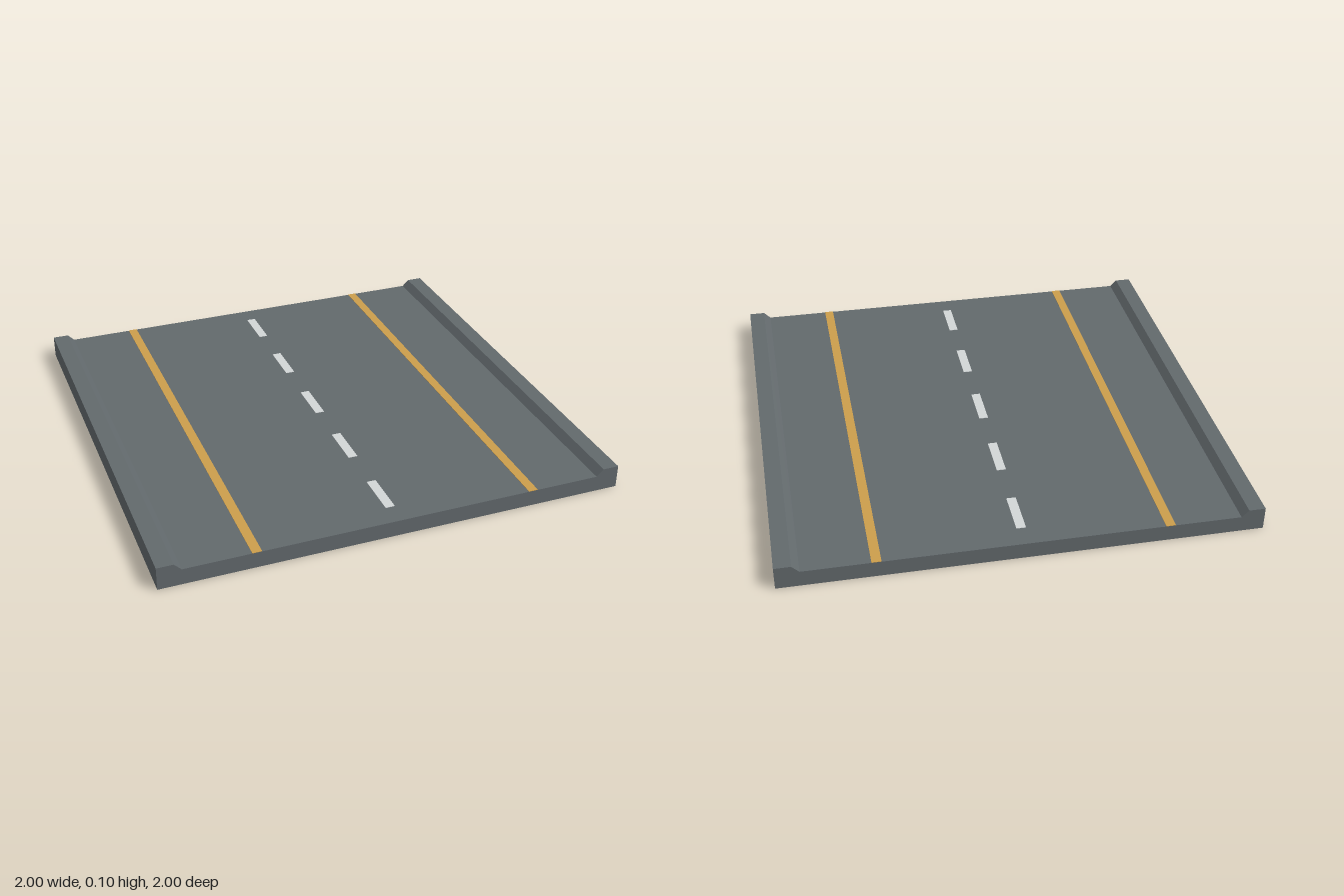
import * as THREE from 'three';

export function createModel() {
  const road = new THREE.Group();
  road.name = 'roadSection';

  const material = (name, color) => {
    const m = new THREE.MeshStandardMaterial({ color });
    m.name = name;
    return m;
  };
  const asphalt = material('asphalt grey', 0x62696c);
  const yellow = material('line yellow', 0xcc9e4c);
  const white = material('dash white', 0xd2d6d7);

  const surfaceY = 0.07;
  const kerbY = 0.1;

  // Road bed with a sloped kerb along each side, extruded along z
  const profile = new THREE.Shape([
    [-1, 0], [1, 0], [1, kerbY], [0.93, kerbY], [0.9, surfaceY],
    [-0.9, surfaceY], [-0.93, kerbY], [-1, kerbY],
  ].map(([x, y]) => new THREE.Vector2(x, y)));
  const bedGeometry = new THREE.ExtrudeGeometry(profile, { depth: 2, bevelEnabled: false });
  bedGeometry.translate(0, 0, -1);
  const bed = new THREE.Mesh(bedGeometry, asphalt);
  bed.name = 'roadBedWithKerbs';
  road.add(bed);

  // Painted markings are thin plates on the surface
  const addMarking = (name, x, z, length, mat) => {
    const mark = new THREE.Mesh(new THREE.BoxGeometry(0.04, 0.002, length), mat);
    mark.name = name;
    mark.position.set(x, surfaceY + 0.001, z);
    road.add(mark);
  };

  // Solid edge lines
  addMarking('leftEdgeLine', 0.6, 0, 2, yellow);
  addMarking('rightEdgeLine', -0.6, 0, 2, yellow);

  // Broken centre line
  for (let i = 0; i < 5; i++) addMarking(`centreDash${i + 1}`, 0, -0.8 + i * 0.4, 0.2, white);

  return road;
}
